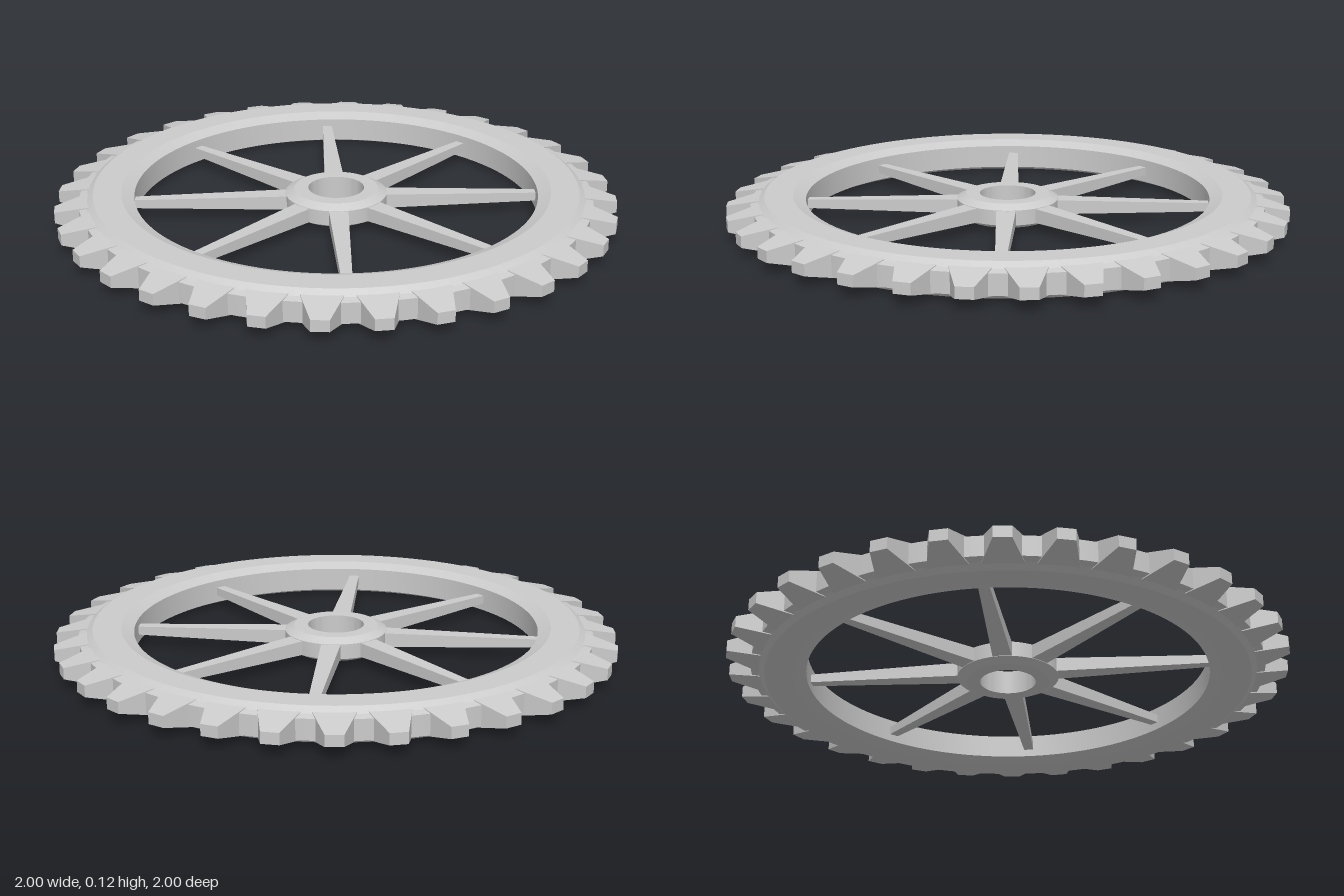
import * as THREE from 'three';
import { toCreasedNormals } from 'three/addons/utils/BufferGeometryUtils.js';

const MID = 0.061;     // height of the wheel's middle plane
const TWIST = 0.022;   // slight turn of the whole wheel about its axis
const TEETH = 32;
const SPOKES = 8;

const material = new THREE.MeshStandardMaterial({ color: 0xcccccc });

// Ring turned from a half profile [radius, half height], listed from outside to inside
function turnedRing(name, half, segments) {
  const upper = half.map(([r, h]) => new THREE.Vector2(r, h));
  const lower = half.map(([r, h]) => new THREE.Vector2(r, -h)).reverse();
  const points = [...lower, ...upper, lower[0].clone()];
  const geometry = toCreasedNormals(new THREE.LatheGeometry(points, segments), 0.2);
  const mesh = new THREE.Mesh(geometry, material);
  mesh.name = name;
  return mesh;
}

// Radial bar from r0 to r1 whose half height and half width change along its length
function taperedBar(r0, r1, [h0, w0], [h1, w1]) {
  const geometry = new THREE.BoxGeometry(1, 2, 2);
  const p = geometry.attributes.position;
  for (let i = 0; i < p.count; i++) {
    const t = p.getX(i) + 0.5;
    p.setXYZ(
      i,
      THREE.MathUtils.lerp(r0, r1, t),
      p.getY(i) * THREE.MathUtils.lerp(h0, h1, t),
      p.getZ(i) * THREE.MathUtils.lerp(w0, w1, t)
    );
  }
  const flat = geometry.toNonIndexed();
  flat.computeVertexNormals();
  return flat;
}

// Copies of one geometry spaced evenly around the axis
function radialArray(name, geometry, count, phase) {
  const group = new THREE.Group();
  group.name = name + 's';
  for (let i = 0; i < count; i++) {
    const mesh = new THREE.Mesh(geometry, material);
    mesh.name = name;
    mesh.rotation.y = -(i + phase) * Math.PI * 2 / count;
    group.add(mesh);
  }
  return group;
}

export function createModel() {
  const wheel = new THREE.Group();
  wheel.name = 'spokedGear';

  // Rim with bevelled inner and outer edges
  wheel.add(turnedRing('rim', [
    [0.915, 0.036], [0.89, 0.043], [0.865, 0.061], [0.765, 0.061], [0.72, 0.043]
  ], 128));

  // Hub with a bevelled shoulder and a through hole
  wheel.add(turnedRing('hub', [
    [0.182, 0.027], [0.15, 0.044], [0.1, 0.044]
  ], 64));

  // Teeth narrow towards the tip in both directions
  const tooth = taperedBar(0.86, 1.001, [0.052, 0.076], [0.02, 0.03]);
  wheel.add(radialArray('tooth', tooth, TEETH, 0.5));

  // Spokes taper from hub to rim
  const spoke = taperedBar(0.15, 0.74, [0.026, 0.035], [0.015, 0.017]);
  wheel.add(radialArray('spoke', spoke, SPOKES, 0));

  wheel.position.y = MID;
  wheel.rotation.y = -TWIST;

  const model = new THREE.Group();
  model.name = 'model';
  model.add(wheel);
  return model;
}
